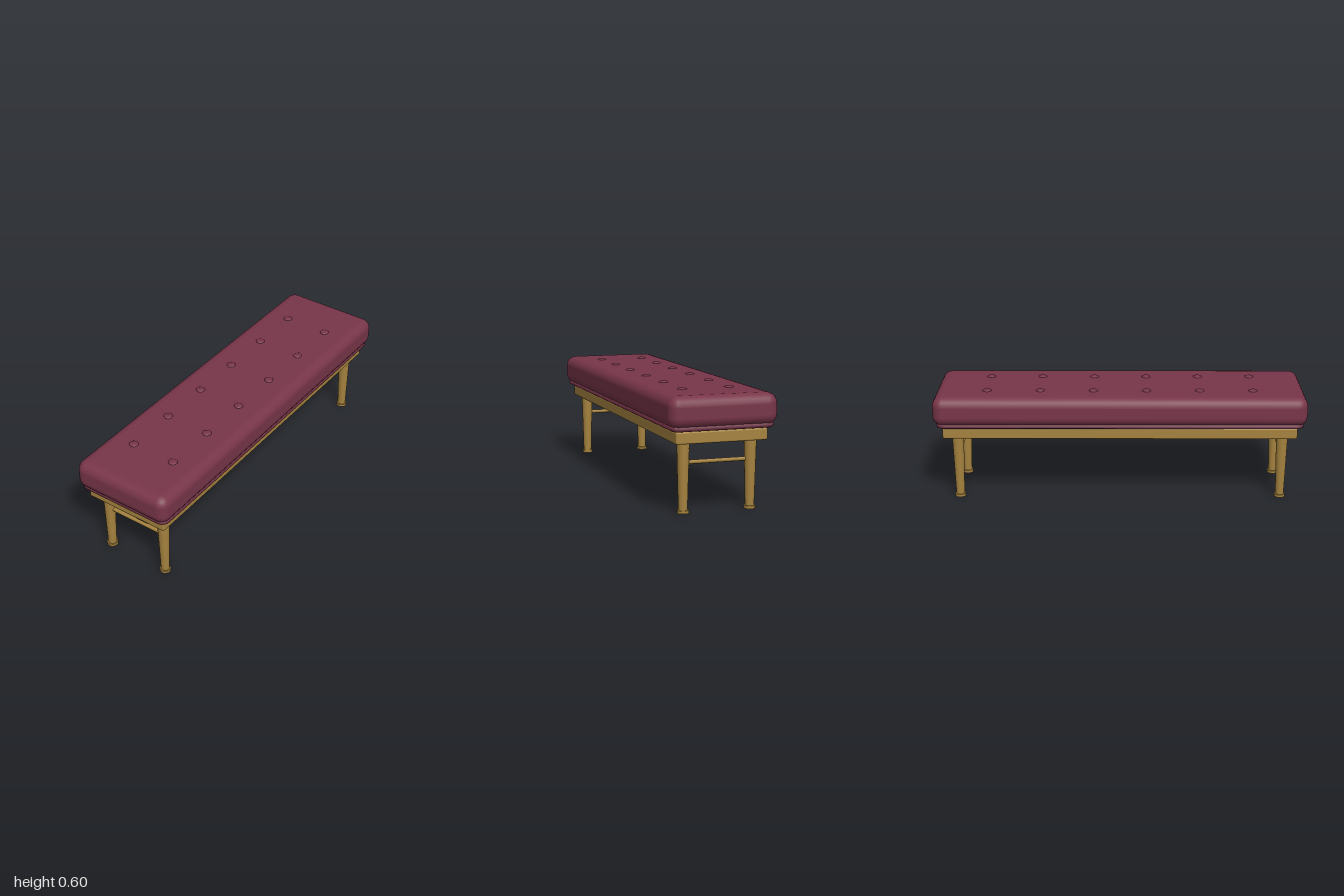
import * as THREE from 'three';
import { RoundedBoxGeometry } from 'three/addons/geometries/RoundedBoxGeometry.js';

export function createModel() {
  const bench = new THREE.Group();
  bench.name = 'bench';

  const fabric = new THREE.MeshStandardMaterial({ color: 0x783549 });
  fabric.name = 'burgundy upholstery';
  const wood = new THREE.MeshStandardMaterial({ color: 0xa6833f });
  wood.name = 'golden wood';

  const add = (name, geometry, material, x, y, z) => {
    const mesh = new THREE.Mesh(geometry, material);
    mesh.name = name;
    mesh.position.set(x, y, z);
    bench.add(mesh);
    return mesh;
  };

  // Padded seat
  add('cushion', new RoundedBoxGeometry(2, 0.161, 0.563, 3, 0.055), fabric, 0, 0.5085, 0);

  // Piping that follows a rounded rectangle under the cushion
  const w = 0.968, d = 0.254, r = 0.03;
  const v = (x, z) => new THREE.Vector3(x, 0, z);
  const path = new THREE.CurvePath();
  const corners = [[1, 1], [-1, 1], [-1, -1], [1, -1]];
  corners.forEach(([sx, sz], i) => {
    const alongX = i % 2 === 1;
    const a = v(sx * (w - r), sz * d), b = v(sx * w, sz * (d - r));
    const [start, end] = alongX ? [a, b] : [b, a];
    path.add(new THREE.QuadraticBezierCurve3(start, v(sx * w, sz * d), end));
    const [nx, nz] = corners[(i + 1) % 4];
    const next = alongX ? v(nx * w, nz * (d - r)) : v(nx * (w - r), nz * d);
    path.add(new THREE.LineCurve3(end, next));
  });
  add('piping', new THREE.TubeGeometry(path, 300, 0.0155, 6, true), fabric, 0, 0.4315, 0);

  // Tufting buttons, two rows of six
  const button = new THREE.SphereGeometry(0.025, 14, 8).scale(1, 0.4, 1);
  for (let i = 0; i < 6; i++) {
    for (const z of [-0.125, 0.125]) {
      add('button', button, fabric, (i - 2.5) * 0.2857, 0.588, z);
    }
  }

  // Wooden seat frame
  add('seatFrame', new RoundedBoxGeometry(1.9, 0.06, 0.476, 2, 0.008), wood, 0, 0.382, 0);

  // Tapered legs with feet, joined by a stretcher at each end
  const leg = new THREE.CylinderGeometry(0.032, 0.0228, 0.34, 16);
  const foot = new THREE.CylinderGeometry(0.0295, 0.0295, 0.015, 16);
  const stretcher = new THREE.CylinderGeometry(0.0105, 0.0105, 0.33, 8).rotateX(Math.PI / 2);
  for (const x of [-0.875, 0.875]) {
    for (const z of [-0.176, 0.176]) {
      add('leg', leg, wood, x, 0.183, z);
      add('foot', foot, wood, x, 0.0075, z);
    }
    add('stretcher', stretcher, wood, x, 0.251, 0);
  }

  return bench;
}
